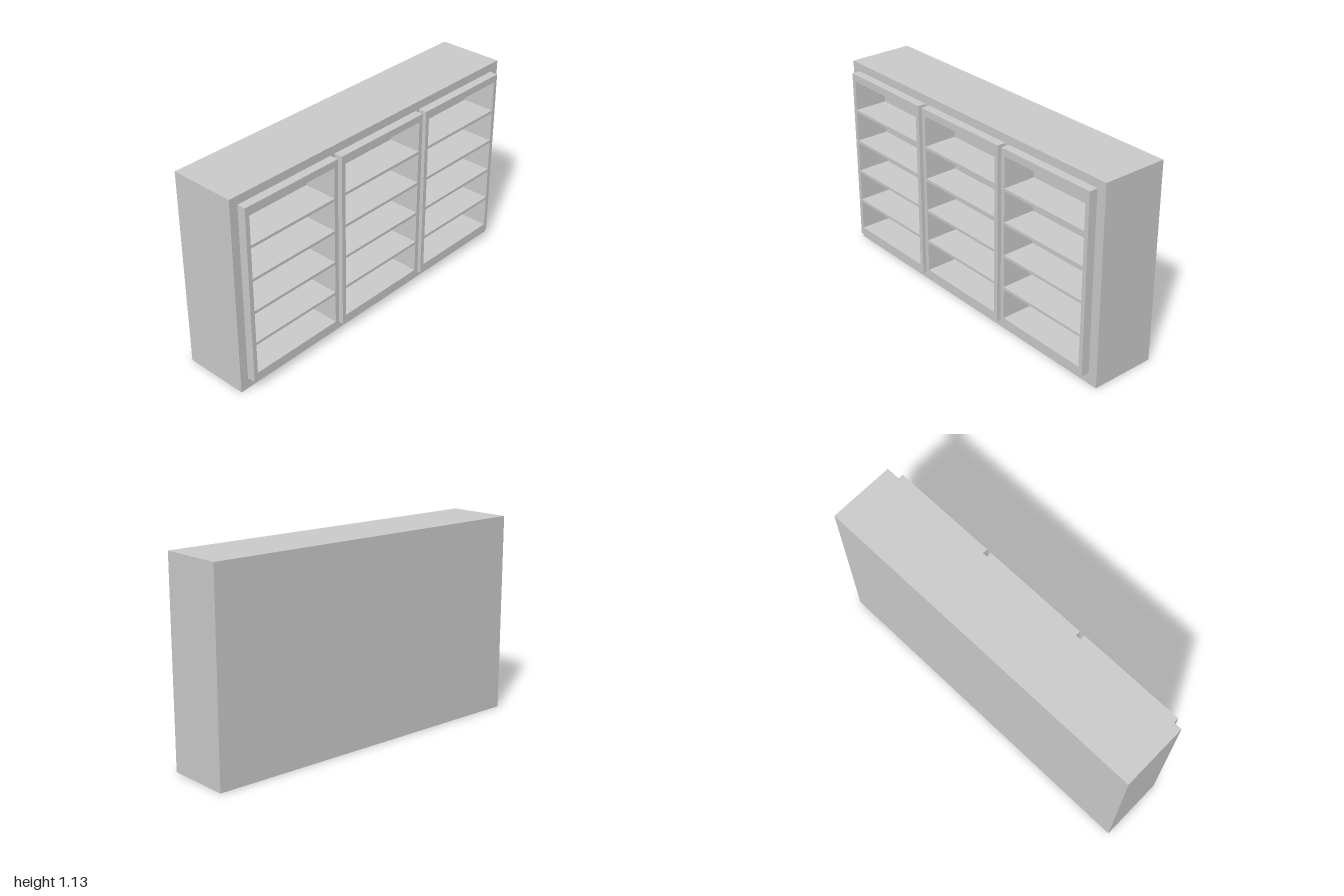
import * as THREE from 'three';

const BACK = -0.21, FLOOR = 0.015, FACE = 0.165, FRONT = 0.21;
const material = new THREE.MeshStandardMaterial({ color: 0xcccccc, flatShading: true });

function trace(path, x0, y0, x1, y1) {
  path.moveTo(x0, y0);
  path.lineTo(x1, y0);
  path.lineTo(x1, y1);
  path.lineTo(x0, y1);
  path.closePath();
  return path;
}

// Rectangular plate with rectangular openings, running from z0 to z1
function plate(name, outline, openings, z0, z1) {
  const shape = trace(new THREE.Shape(), ...outline);
  for (const o of openings) shape.holes.push(trace(new THREE.Path(), ...o));
  const geometry = new THREE.ExtrudeGeometry(shape, { depth: z1 - z0, bevelEnabled: false });
  geometry.translate(0, 0, z0);
  const mesh = new THREE.Mesh(geometry, material);
  mesh.name = name;
  return mesh;
}

export function createModel() {
  const model = new THREE.Group();
  model.name = 'shelfCabinet';

  const centres = [-0.643, -0.002, 0.637];
  const halfWidth = 0.306, bottom = 0.06, top = 1.08, gap = 0.003;
  const body = [-1, 0, 1, 1.13];

  // Solid back and the casing with one slot per shelf unit
  model.add(plate('cabinetBack', body, [], BACK, FLOOR));
  const slots = centres.map((x) => [x - halfWidth - gap, bottom - gap, x + halfWidth + gap, top + gap]);
  model.add(plate('cabinetCasing', body, slots, FLOOR, FACE));

  // Three shelf units, each with five compartments, standing proud of the casing
  centres.forEach((x, i) => {
    const compartments = [];
    for (let row = 0; row < 5; row++) {
      const y = 0.106 + row * 0.19;
      compartments.push([x - 0.281, y, x + 0.281, y + 0.174]);
    }
    const outline = [x - halfWidth, bottom, x + halfWidth, top];
    model.add(plate(`shelfUnit${i + 1}`, outline, compartments, FLOOR, FRONT));
  });

  return model;
}
